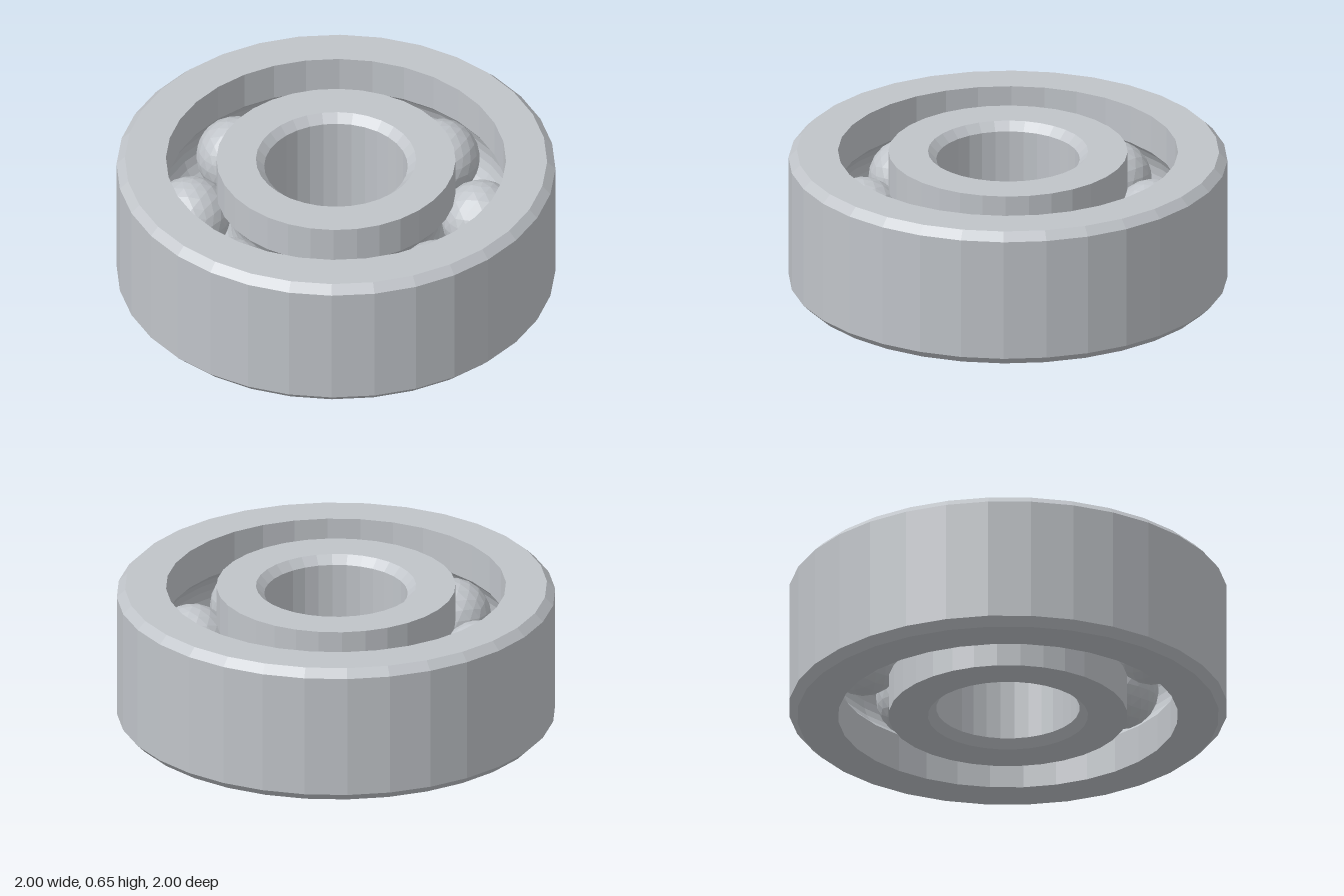
import * as THREE from 'three';

const HEIGHT = 0.65, MID = HEIGHT / 2;
const PITCH = 0.66;      // radius of the ball circle
const BALL = 0.18, GROOVE = 0.185;
const BALLS = 8, SIDES = 32;

// Faceted normals without shared vertices
function faceted(geometry) {
  const g = geometry.index ? geometry.toNonIndexed() : geometry;
  g.computeVertexNormals();
  return g;
}

// Groove arc cut into the wall at radius wall; side +1 is the outer ring, -1 the inner ring
function groove(wall, side) {
  const half = Math.acos(Math.abs(wall - PITCH) / GROOVE);
  const points = [];
  for (let i = 0; i <= 8; i++) {
    const a = side * half * (1 - i / 4);
    points.push([PITCH + side * GROOVE * Math.cos(a), MID + GROOVE * Math.sin(a)]);
  }
  return points;
}

function ring(name, profile, material) {
  const points = [...profile, profile[0]].map(([r, y]) => new THREE.Vector2(r, y));
  const mesh = new THREE.Mesh(faceted(new THREE.LatheGeometry(points, SIDES)), material);
  mesh.name = name;
  return mesh;
}

export function createModel() {
  const steel = new THREE.MeshStandardMaterial({ color: 0xc0c4c9 });
  steel.name = 'steel';
  const model = new THREE.Group();
  model.name = 'ballBearing';
  const c = 0.038; // chamfer

  // Outer ring, chamfered outside, grooved inside
  const ro = 0.775;
  model.add(ring('outerRing', [
    [ro, 0], [1 - c, 0], [1, c], [1, HEIGHT - c], [1 - c, HEIGHT], [ro, HEIGHT],
    ...groove(ro, 1),
  ], steel));

  // Inner ring, grooved outside, chamfered bore
  const ri = 0.545, bore = 0.327;
  model.add(ring('innerRing', [
    [bore + c, 0], [ri, 0],
    ...groove(ri, -1),
    [ri, HEIGHT], [bore + c, HEIGHT], [bore, HEIGHT - c], [bore, c],
  ], steel));

  // Balls, each with a vertex pointing up
  const ballGeometry = new THREE.IcosahedronGeometry(BALL, 3);
  ballGeometry.rotateX(-Math.atan((1 + Math.sqrt(5)) / 2));
  faceted(ballGeometry);
  const balls = new THREE.Group();
  balls.name = 'balls';
  for (let i = 0; i < BALLS; i++) {
    const a = (i / BALLS) * Math.PI * 2;
    const ball = new THREE.Mesh(ballGeometry, steel);
    ball.name = 'ball';
    ball.position.set(PITCH * Math.sin(a), MID, PITCH * Math.cos(a));
    balls.add(ball);
  }
  model.add(balls);
  return model;
}
